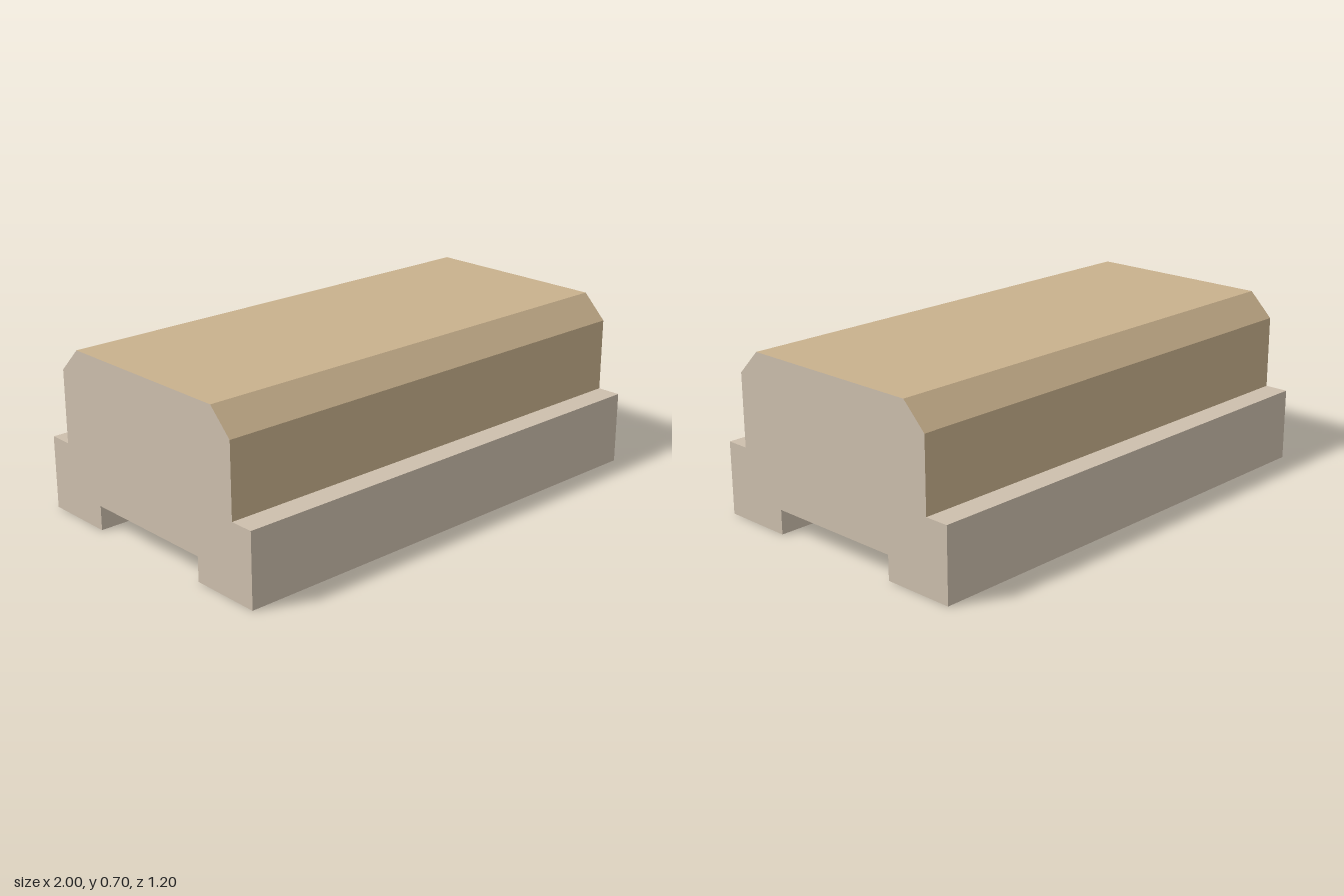
import * as THREE from 'three';

const LENGTH = 2;

export function createModel() {
  const tan = new THREE.MeshStandardMaterial({ color: 0xc9b18d });
  tan.name = 'tan';
  const stone = new THREE.MeshStandardMaterial({ color: 0xcdbfad });
  stone.name = 'stone';

  const model = new THREE.Group();
  model.name = 'steppedBlock';

  // Chamfered body with a narrower lower web; stone end caps, tan long faces
  const half = [[0.3, 0.1], [0.3, 0.3], [0.5, 0.3], [0.5, 0.6], [0.4, 0.7]];
  const mirrored = half.map(([z, y]) => [-z, y]).reverse();
  const profile = new THREE.Shape([...half, ...mirrored].map(([z, y]) => new THREE.Vector2(z, y)));
  const bodyGeometry = new THREE.ExtrudeGeometry(profile, { depth: LENGTH, bevelEnabled: false });
  bodyGeometry.translate(0, 0, -LENGTH / 2).rotateY(Math.PI / 2);
  const body = new THREE.Mesh(bodyGeometry, [stone, tan]);
  body.name = 'body';
  model.add(body);

  // Base rails along the front and back, leaving a channel underneath
  for (const [name, side] of [['frontRail', 1], ['backRail', -1]]) {
    const rail = new THREE.Mesh(new THREE.BoxGeometry(LENGTH, 0.3, 0.3), stone);
    rail.name = name;
    rail.position.set(0, 0.15, side * 0.45);
    model.add(rail);
  }

  return model;
}
